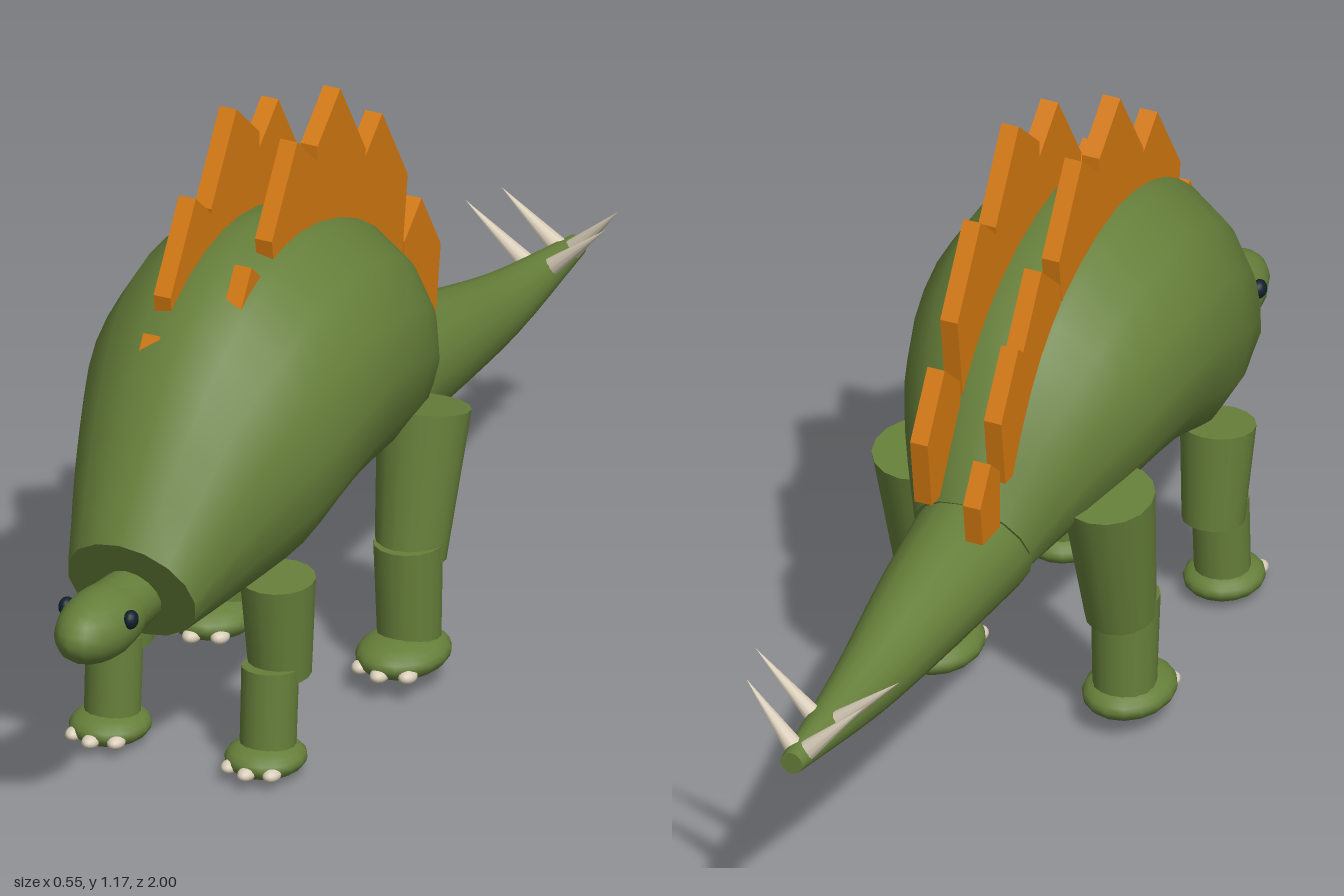
import * as THREE from 'three';

const mat = (name, color) => Object.assign(new THREE.MeshStandardMaterial({ color }), { name });

export function createModel() {
  const skin = mat('skin green', 0x667f3a);
  const plateMat = mat('plate orange', 0xd2780f);
  const bone = mat('bone', 0xd8cdb8);
  const dark = mat('eye dark', 0x10202c);
  const model = new THREE.Group();
  model.name = 'platedDinosaur';

  const add = (parent, name, geometry, material, x = 0, y = 0, z = 0) => {
    const mesh = new THREE.Mesh(geometry, material);
    mesh.name = name;
    mesh.position.set(x, y, z);
    parent.add(mesh);
    return mesh;
  };

  // Smooth skin through elliptical rings [bottomZ, bottomY, topZ, topY, halfWidth], front to back
  const loft = (rings, steps, sides = 16) => {
    const low = new THREE.CatmullRomCurve3(rings.map(r => new THREE.Vector3(0, r[1], r[0])));
    const high = new THREE.CatmullRomCurve3(rings.map(r => new THREE.Vector3(r[4], r[3], r[2])));
    const pos = [], index = [];
    const ring = i => {
      const t = i / steps, b = low.getPoint(t), h = high.getPoint(t), w = h.x;
      for (let j = 0; j < sides; j++) {
        const a = j / sides * Math.PI * 2, k = (1 + Math.cos(a)) / 2;
        pos.push(w * Math.sin(a), b.y + (h.y - b.y) * k, b.z + (h.z - b.z) * k);
      }
    };
    for (let i = 0; i <= steps; i++) ring(i);
    for (let i = 0; i < steps; i++) for (let j = 0; j < sides; j++) {
      const p = i * sides + j, q = i * sides + (j + 1) % sides;
      index.push(p, q, p + sides, q, q + sides, p + sides);
    }
    // Flat end caps with their own corners
    for (const end of [0, steps]) {
      const start = pos.length / 3;
      ring(end);
      for (let j = 1; j < sides - 1; j++) {
        if (end) index.push(start, start + j, start + j + 1);
        else index.push(start, start + j + 1, start + j);
      }
    }
    const g = new THREE.BufferGeometry();
    g.setAttribute('position', new THREE.Float32BufferAttribute(pos, 3));
    g.setIndex(index);
    g.computeVertexNormals();
    return g;
  };

  // Tapered cylinder between two points
  const limb = (parent, name, from, to, r0, r1, material, sides = 16) => {
    const a = new THREE.Vector3(...from), b = new THREE.Vector3(...to);
    const mesh = add(parent, name, new THREE.CylinderGeometry(r1, r0, a.distanceTo(b), sides), material);
    mesh.position.copy(a).add(b).multiplyScalar(0.5);
    mesh.quaternion.setFromUnitVectors(new THREE.Vector3(0, 1, 0), b.sub(a).normalize());
  };

  const ball = (parent, name, [x, y, z], [rx, ry, rz], material) =>
    add(parent, name, new THREE.SphereGeometry(1, 16, 12), material, x, y, z).scale.set(rx, ry, rz);

  // Arched body and tail
  add(model, 'body', loft([
    [0.70, 0.315, 0.80, 0.53, 0.13],
    [0.55, 0.32, 0.61, 0.79, 0.205],
    [0.42, 0.34, 0.44, 0.925, 0.258],
    [0.24, 0.405, 0.24, 0.968, 0.275],
    [0.06, 0.41, 0.01, 0.905, 0.248],
    [-0.06, 0.395, -0.14, 0.78, 0.19],
    [-0.165, 0.37, -0.27, 0.575, 0.115],
  ], 18), skin);
  add(model, 'tail', loft([
    [-0.195, 0.345, -0.2, 0.585, 0.115],
    [-0.45, 0.347, -0.45, 0.54, 0.09],
    [-0.7, 0.355, -0.7, 0.482, 0.058],
    [-1, 0.397, -1, 0.44, 0.022],
  ], 12), skin);

  // Head and neck
  limb(model, 'neck', [0, 0.41, 0.72], [0, 0.41, 0.86], 0.056, 0.062, skin);
  ball(model, 'head', [0, 0.406, 0.87], [0.07, 0.067, 0.13], skin);

  // Two staggered rows of back plates: tip z, tip y, scale
  const outline = [[0, 0], [0.1, -0.16], [0.075, -0.34], [-0.09, -0.34], [-0.09, -0.08]];
  const rows = {
    1: [[0.43, 0.955, 0.8], [0.25, 1.135, 1], [0.08, 1.175, 1], [-0.085, 1.06, 1], [-0.24, 0.83, 0.75]],
    [-1]: [[0.55, 0.84, 0.45], [0.41, 1.06, 1], [0.25, 1.175, 1], [0.085, 1.13, 1],
      [-0.09, 0.99, 0.9], [-0.19, 0.88, 0.75], [-0.31, 0.7, 0.45]],
  };
  for (const side of [1, -1]) for (const [z, y, s] of rows[side]) {
    const lean = z > 0.165 ? 1 : -1; // long edge faces away from the crest
    const shape = new THREE.Shape(outline.map(([u, v]) => new THREE.Vector2(-u * s * lean, v * s)));
    const g = new THREE.ExtrudeGeometry(shape, { depth: 0.035, bevelEnabled: false });
    g.translate(0, 0, -0.0175).rotateY(Math.PI / 2);
    add(model, 'backPlate', g, plateMat, side * 0.0625, y, z);
  }

  for (const s of [1, -1]) {
    ball(model, 'eye', [s * 0.066, 0.428, 0.88], [0.014, 0.018, 0.018], dark);

    // Tail spikes
    limb(model, 'tailSpike', [s * 0.01, 0.425, -0.855], [s * 0.145, 0.542, -0.843], 0.02, 0, bone, 10);
    limb(model, 'tailSpike', [s * 0.01, 0.425, -0.96], [s * 0.12, 0.535, -0.938], 0.02, 0, bone, 10);

    // Front leg
    const front = new THREE.Group();
    front.name = 'frontLeg';
    limb(front, 'upperLeg', [s * 0.162, 0.185, 0.475], [s * 0.165, 0.38, 0.49], 0.058, 0.07, skin);
    limb(front, 'lowerLeg', [s * 0.16, 0.04, 0.52], [s * 0.16, 0.21, 0.51], 0.052, 0.053, skin);
    ball(front, 'foot', [s * 0.16, 0.037, 0.527], [0.075, 0.034, 0.082], skin);
    for (const t of [-1, 0, 1])
      ball(front, 'toe', [s * 0.16 + t * 0.043, 0.03, 0.604 - Math.abs(t) * 0.018], [0.016, 0.013, 0.022], bone);

    // Rear leg
    const rear = new THREE.Group();
    rear.name = 'rearLeg';
    limb(rear, 'upperLeg', [s * 0.19, 0.24, 0.015], [s * 0.19, 0.52, -0.04], 0.066, 0.087, skin);
    limb(rear, 'lowerLeg', [s * 0.193, 0.05, 0.025], [s * 0.193, 0.275, 0.03], 0.058, 0.064, skin);
    ball(rear, 'foot', [s * 0.193, 0.064, 0.048], [0.084, 0.04, 0.105], skin);
    for (const t of [-1, 0, 1])
      ball(rear, 'toe', [s * 0.193 + t * 0.048, 0.052, 0.143 - Math.abs(t) * 0.02], [0.017, 0.014, 0.022], bone);
    model.add(front, rear);
  }
  return model;
}
